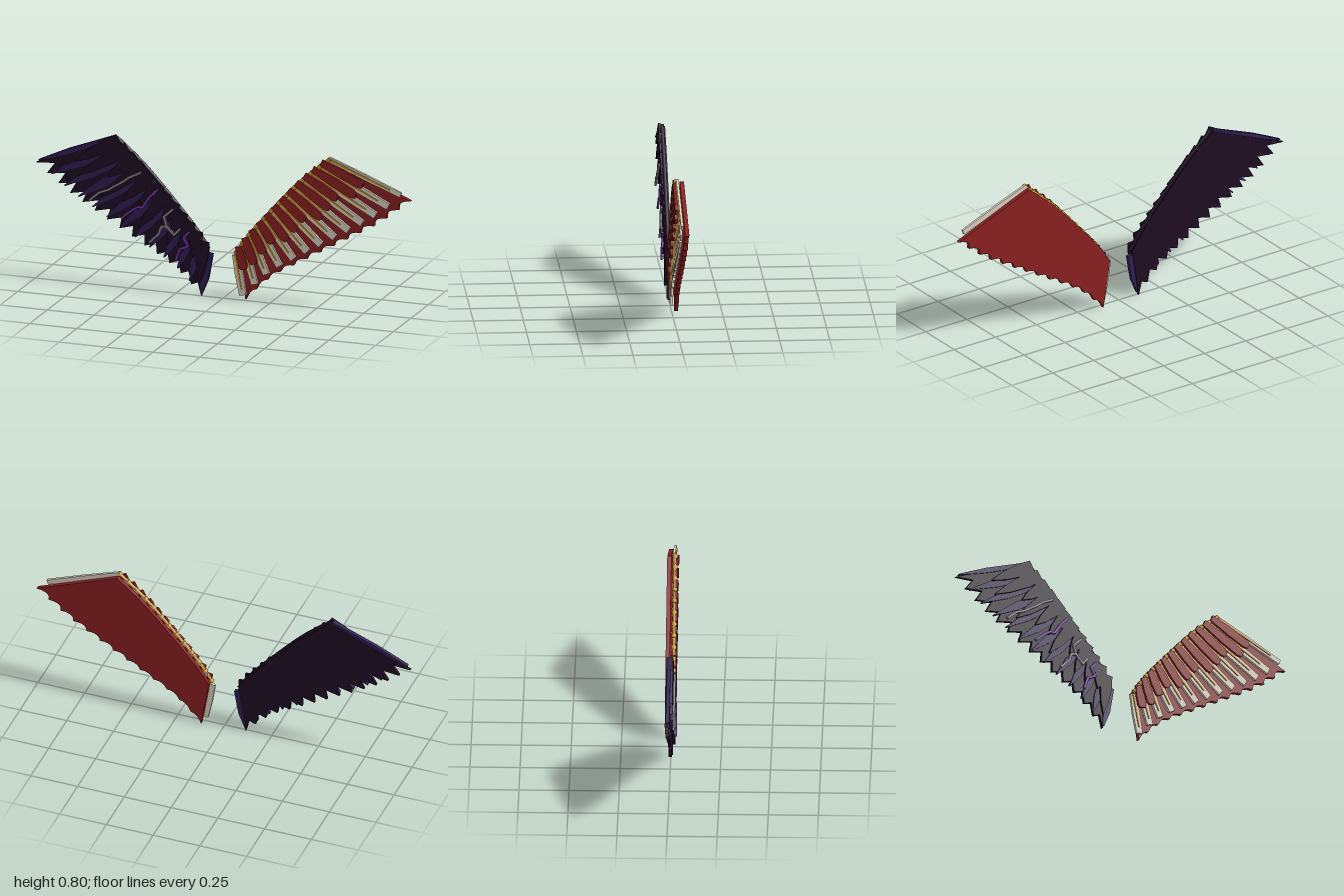
import * as THREE from 'three';

const mat = (name, color, side = THREE.FrontSide) => {
  const m = new THREE.MeshStandardMaterial({ color, side });
  m.name = name;
  return m;
};

const V = (x, y) => new THREE.Vector2(x, y);
// leading edge (wrist to root) and trailing edge (wing tip to lowest point)
const leading = new THREE.SplineCurve([V(0.565, 0.78), V(0.42, 0.655), V(0.265, 0.49), V(0.14, 0.345), V(0.075, 0.25)]);
const trailing = new THREE.SplineCurve([V(0.995, 0.605), V(0.83, 0.475), V(0.63, 0.355), V(0.44, 0.245), V(0.25, 0.13), V(0.115, 0)]);

// point on the wing: t runs wrist to root, k runs leading to trailing edge
const on = (t, k) => leading.getPointAt(t).lerp(trailing.getPointAt(t), k);

function extrude(shape, z0, z1) {
  const g = new THREE.ExtrudeGeometry(shape, { depth: z1 - z0, bevelEnabled: false, curveSegments: 5 });
  g.translate(0, 0, z0);
  return g;
}

function add(group, name, geometry, material) {
  const mesh = new THREE.Mesh(geometry, material);
  mesh.name = name;
  group.add(mesh);
  return mesh;
}

// flat strip from a to b; profile lists [fraction along, half width]
function blade(a, b, profile, z0, z1, side) {
  const d = b.clone().sub(a);
  const n = V(-d.y, d.x).normalize();
  const edge = (sgn) => profile.map(([f, w]) => a.clone().addScaledVector(d, f).addScaledVector(n, w * sgn));
  const pts = [...edge(1), ...edge(-1).reverse()].map((p) => V(p.x * side, p.y));
  return extrude(new THREE.Shape(pts), z0, z1);
}

// web of the wing, with a scalloped or toothed trailing edge
function membrane(side, teeth, depth, curved, z0, z1) {
  const s = new THREE.Shape();
  const first = leading.getPointAt(0);
  s.moveTo(first.x * side, first.y);
  const tip = trailing.getPointAt(0);
  s.lineTo(tip.x * side, tip.y);
  for (let i = 0; i < teeth; i++) {
    const p = on((i + 0.5) / teeth, 1 - depth);
    const q = on((i + 1) / teeth, 1);
    if (curved) s.quadraticCurveTo(p.x * side, p.y, q.x * side, q.y);
    else {
      s.lineTo(p.x * side, p.y);
      s.lineTo(q.x * side, q.y);
    }
  }
  for (let i = 16; i > 0; i--) {
    const p = leading.getPointAt(i / 16);
    s.lineTo(p.x * side, p.y);
  }
  return extrude(s, z0, z1);
}

function brightWing() {
  const red = mat('crimson', 0x8b2020);
  const cream = mat('cream', 0xdcd2c0);
  const gold = mat('gold', 0xcf982a);
  const wing = new THREE.Group();
  wing.name = 'leftWing';
  add(wing, 'membrane', membrane(1, 13, 0.11, true, -0.033, -0.012), red);

  const count = 13;
  for (let i = 0; i < count; i++) {
    const t = i / (count - 1);
    const root = on(t, 0), tip = on(t, 0.89);
    // end feathers sit slightly outside the web
    if (i === 0) { root.y += 0.004; tip.y += 0.012; }
    if (i === count - 1) { root.x -= 0.008; root.y -= 0.015; tip.x -= 0.004; }
    const w = i === 0 ? 0.015 : 0.021;
    add(wing, 'flightFeather', blade(root, tip, [[0, w * 0.8], [0.5, w], [1, w * 0.85]], -0.006, 0.007, 1), cream);
    add(wing, 'featherShaft', blade(root, tip, [[0, 0.006], [0.85, 0.003]], 0.007, 0.012, 1), gold);
  }

  // short overlapping feathers between the long ones
  for (let i = 0; i < count - 1; i++) {
    const t = (i + 0.5) / (count - 1);
    const reach = 0.5 + 0.06 * Math.sin(i * 2.1);
    add(wing, 'covertFeather', blade(on(t, -0.03), on(t, reach), [[0, 0.017], [0.5, 0.024], [0.9, 0.023], [1, 0.015]], 0.010, 0.023, 1), red);
  }

  // gold rod with beads along the leading edge
  const pts = leading.getSpacedPoints(12).map((p) => new THREE.Vector3(p.x, p.y, 0.007));
  add(wing, 'leadingRod', new THREE.TubeGeometry(new THREE.CatmullRomCurve3(pts), 32, 0.009, 6), gold);
  for (const p of pts) {
    const bead = add(wing, 'rodBead', new THREE.CylinderGeometry(0.013, 0.013, 0.018, 6), gold);
    bead.position.copy(p);
    bead.rotation.z = -0.75;
  }
  return wing;
}

function darkWing() {
  const night = mat('blackPlum', 0x1f0d22);
  const violet = mat('deepViolet', 0x301f56);
  const silver = mat('silver', 0x8a8590);
  const purple = mat('brightPurple', 0x7439a8);
  const wing = new THREE.Group();
  wing.name = 'rightWing';
  add(wing, 'membrane', membrane(-1, 14, 0.17, false, -0.012, 0.005), night);

  const count = 13;
  for (let i = 0; i < count; i++) {
    const t = i / (count - 1);
    const root = on(t, 0.02), tip = on(t, 0.96);
    if (i === 0) { root.y += 0.003; tip.y += 0.008; }
    if (i === count - 1) { root.x -= 0.008; root.y -= 0.015; }
    const w = i === 0 ? 0.013 : 0.021;
    add(wing, 'flightFeather', blade(root, tip, [[0, w * 0.8], [0.6, w], [1, 0.003]], -0.008, 0.011, -1), violet);
  }

  // dark ragged feathers laid over the violet ones
  for (let i = 0; i < count - 1; i++) {
    const t = (i + 0.5) / (count - 1);
    const reach = 0.62 + 0.16 * Math.sin(i * 2.4);
    add(wing, 'covertFeather', blade(on(Math.max(0, t - 0.02), -0.01), on(Math.min(1, t + 0.02), reach),
      [[0, 0.03], [0.3, 0.034], [0.7, 0.022], [1, 0.002]], 0.010, 0.022, -1), night);
  }
  const edge = leading.getSpacedPoints(12).map((p) => new THREE.Vector3(-p.x, p.y, 0.005));
  add(wing, 'leadingRod', new THREE.TubeGeometry(new THREE.CatmullRomCurve3(edge), 32, 0.011, 6), night);

  // jagged streaks
  const streak = (name, material, points) => {
    for (let i = 1; i < points.length; i++) {
      add(wing, name, blade(V(...points[i - 1]), V(...points[i]), [[-0.04, 0.006], [1.04, 0.006]], 0.022, 0.032, -1), material);
    }
  };
  streak('silverStreak', silver, [[0.7, 0.445], [0.65, 0.49], [0.6, 0.51], [0.57, 0.53], [0.53, 0.555], [0.49, 0.585], [0.43, 0.615]]);
  streak('purpleStreak', purple, [[0.53, 0.37], [0.47, 0.42], [0.445, 0.435], [0.42, 0.435], [0.38, 0.495], [0.34, 0.535]]);
  streak('silverStreak', silver, [[0.38, 0.26], [0.33, 0.31], [0.32, 0.345], [0.29, 0.35], [0.305, 0.4], [0.26, 0.44]]);
  streak('silverStreak', silver, [[0.29, 0.35], [0.25, 0.31], [0.22, 0.345]]);
  streak('purpleStreak', purple, [[0.24, 0.18], [0.22, 0.24], [0.175, 0.26], [0.2, 0.3], [0.175, 0.33]]);
  return wing;
}

export function createModel() {
  const model = new THREE.Group();
  model.name = 'wings';
  model.add(brightWing(), darkWing());
  return model;
}
